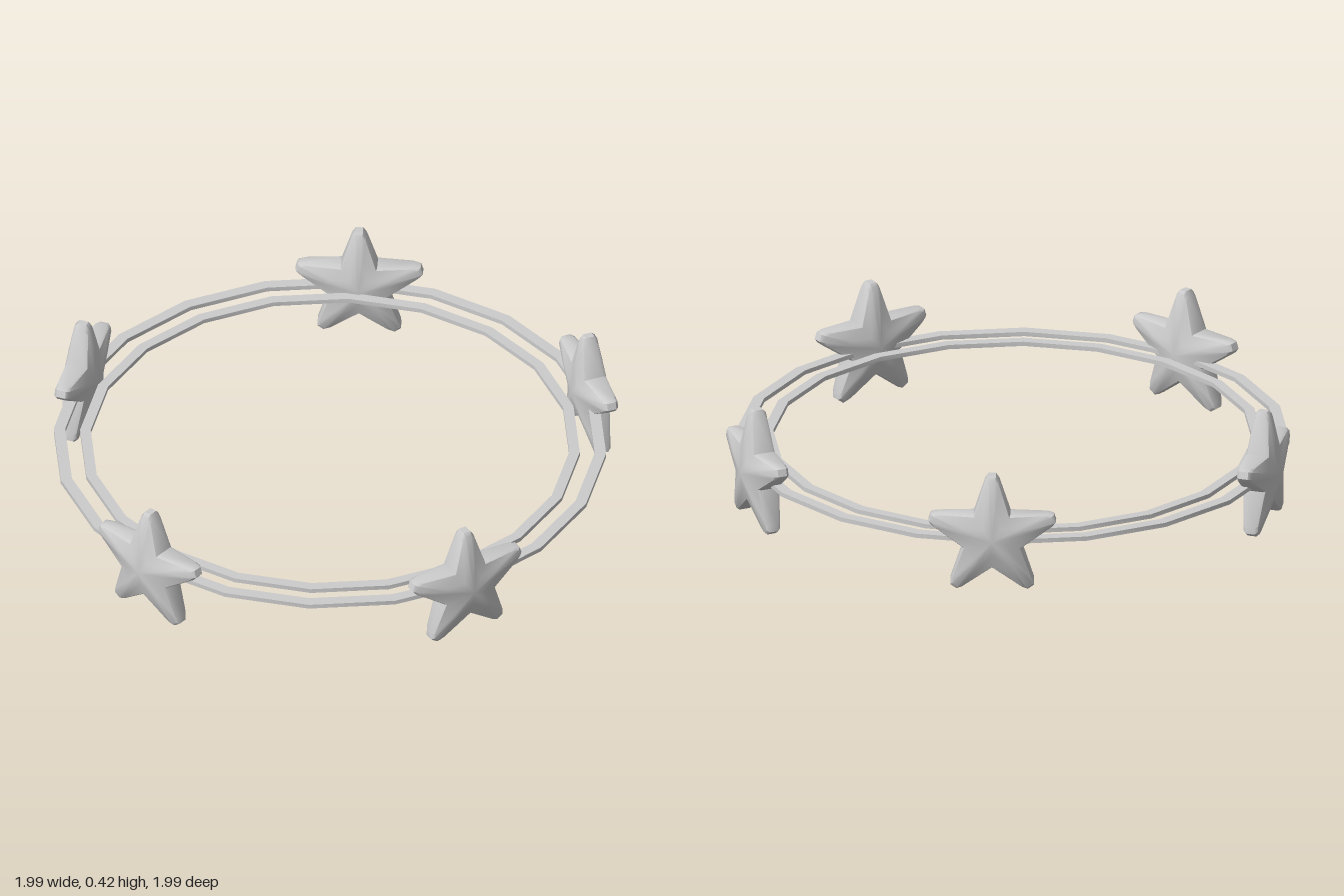
import * as THREE from 'three';
import { toCreasedNormals } from 'three/addons/utils/BufferGeometryUtils.js';

const CENTRE_X = 0.027;

// Flat band of rectangular section, 20 sides
function bandGeometry(inner, outer, low, high) {
  const profile = [[inner, low], [outer, low], [outer, high], [inner, high], [inner, low]]
    .map(([x, y]) => new THREE.Vector2(x, y));
  return toCreasedNormals(new THREE.LatheGeometry(profile, 20), 0.5);
}

// Puffy five-pointed star with blunt tips, facing +z, centred on its hub
function starGeometry() {
  // Outline, counter-clockwise: [x, y, isNotch]
  const outline = [];
  for (let i = 0; i < 5; i++) {
    const a = Math.PI / 2 + i * Math.PI * 0.4;
    const c = Math.cos(a), s = Math.sin(a);
    for (const [along, across] of [[0.212, -0.025], [0.23, -0.013], [0.23, 0.013], [0.212, 0.025]]) {
      outline.push([c * along - s * across, s * along + c * across, false]);
    }
    const n = a + Math.PI / 5;
    outline.push([Math.cos(n) * 0.108, Math.sin(n) * 0.108, true]);
  }
  // Sections from back to front: [scale, depth at tips, depth at notches]
  const half = [[0.5, 0.049, 0.056], [0.95, 0.027, 0.04], [1, 0.016, 0.03]];
  const sections = [
    ...half.map(([s, t, n]) => [s, -t, -n]),
    ...half.slice().reverse(),
  ];
  const positions = [], index = [], count = outline.length;
  for (const [scale, tip, notch] of sections) {
    for (const [x, y, isNotch] of outline) positions.push(x * scale, y * scale, isNotch ? notch : tip);
  }
  const back = positions.length / 3, front = back + 1;
  positions.push(0, 0, -0.067, 0, 0, 0.067);
  const last = (sections.length - 1) * count;
  for (let i = 0; i < count; i++) {
    const j = (i + 1) % count;
    for (let k = 0; k < sections.length - 1; k++) {
      const p = k * count, q = p + count;
      index.push(p + i, p + j, q + j, p + i, q + j, q + i);
    }
    index.push(back, j, i, front, last + i, last + j);
  }
  const geometry = new THREE.BufferGeometry();
  geometry.setAttribute('position', new THREE.Float32BufferAttribute(positions, 3));
  geometry.setIndex(index);
  return toCreasedNormals(geometry, 0.75);
}

export function createModel() {
  const model = new THREE.Group();
  model.name = 'starRing';
  const grey = new THREE.MeshStandardMaterial({ color: 0xcccccc });
  grey.name = 'light grey';

  // Two concentric bands
  for (const [name, inner, outer] of [['outerBand', 0.925, 0.965], ['innerBand', 0.836, 0.873]]) {
    const band = new THREE.Mesh(bandGeometry(inner, outer, 0.167, 0.183), grey);
    band.name = name;
    band.position.x = CENTRE_X;
    model.add(band);
  }

  // Five stars around the bands: [x, z, facing angle in degrees from +x towards +z]
  const star = starGeometry();
  const places = [
    [-0.934, -0.004, 180],
    [-0.307, 0.9, 108],
    [-0.243, -0.9, -110],
    [0.842, 0.49, 28],
    [0.797, -0.52, -37],
  ];
  places.forEach(([x, z, angle], i) => {
    const mesh = new THREE.Mesh(star, grey);
    mesh.name = `star${i + 1}`;
    mesh.position.set(x, 0.186, z);
    mesh.rotation.y = Math.PI / 2 - THREE.MathUtils.degToRad(angle);
    model.add(mesh);
  });
  return model;
}
